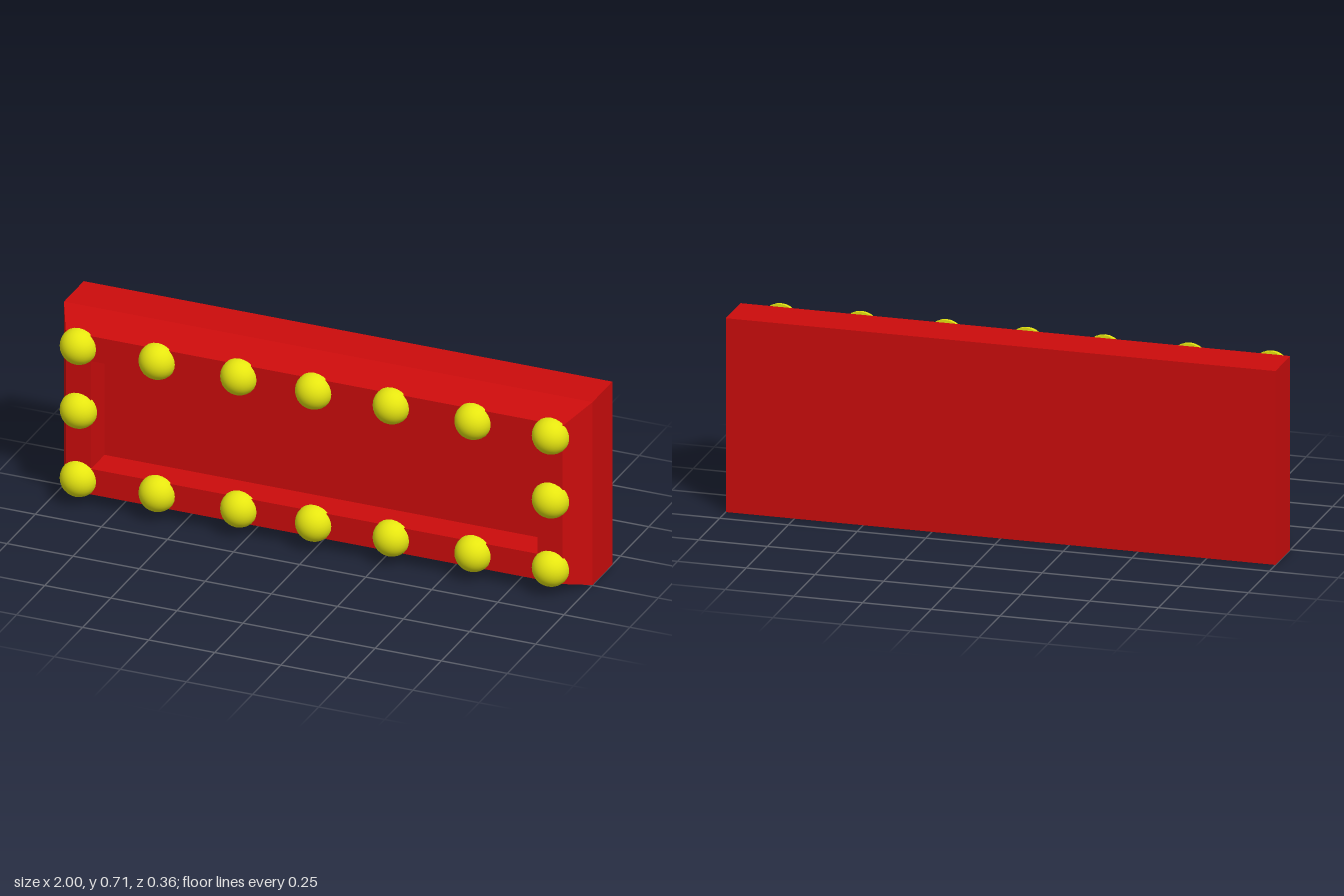
import * as THREE from 'three';

// Rectangular ring of corners, counter-clockwise seen from the front
const ring = (x, y0, y1, z) => [[-x, y0, z], [x, y0, z], [x, y1, z], [-x, y1, z]];

// Closed solid from successive rings, flat shaded
function ringSolid(rings) {
  const pos = [];
  const quad = (a, b, c, d) => [a, b, c, a, c, d].forEach((p) => pos.push(...p));
  const first = rings[0], last = rings[rings.length - 1];
  quad(first[3], first[2], first[1], first[0]);
  for (let r = 0; r < rings.length - 1; r++) {
    for (let i = 0; i < 4; i++) {
      const j = (i + 1) % 4;
      quad(rings[r][i], rings[r][j], rings[r + 1][j], rings[r + 1][i]);
    }
  }
  quad(...last);
  const geo = new THREE.BufferGeometry();
  geo.setAttribute('position', new THREE.Float32BufferAttribute(pos, 3));
  geo.computeVertexNormals();
  return geo;
}

export function createModel() {
  const group = new THREE.Group();
  const red = new THREE.MeshStandardMaterial({ color: 0xcc0c0c });
  const yellow = new THREE.MeshStandardMaterial({ color: 0xe6e610 });

  // Sign box: straight back, chamfered front, recessed panel
  const box = new THREE.Mesh(ringSolid([
    ring(1, 0, 0.71, -0.178),
    ring(1, 0, 0.71, -0.003),
    ring(0.94, 0.048, 0.662, 0.12),
    ring(0.845, 0.147, 0.565, 0.12),
    ring(0.845, 0.147, 0.565, 0),
  ]), red);
  box.name = 'signBox';
  group.add(box);

  // Half-round bulbs around the frame, with flat backs
  const R = 0.068;
  const dome = new THREE.SphereGeometry(R, 24, 10, 0, Math.PI * 2, 0, Math.PI / 2).rotateX(Math.PI / 2);
  const disc = new THREE.CircleGeometry(R, 24).rotateY(Math.PI);
  const addBulb = (x, y) => {
    const bulb = new THREE.Group();
    bulb.name = 'bulb';
    const cap = new THREE.Mesh(dome, yellow);
    cap.name = 'bulbDome';
    const back = new THREE.Mesh(disc, yellow);
    back.name = 'bulbBack';
    bulb.add(cap, back);
    bulb.position.set(x, y, 0.112);
    group.add(bulb);
  };
  for (const x of [-0.893, -0.595, -0.286, -0.003, 0.291, 0.6, 0.893]) {
    addBulb(x, 0.1);
    addBulb(x, 0.613);
  }
  for (const x of [-0.893, 0.893]) addBulb(x, 0.365);

  return group;
}
